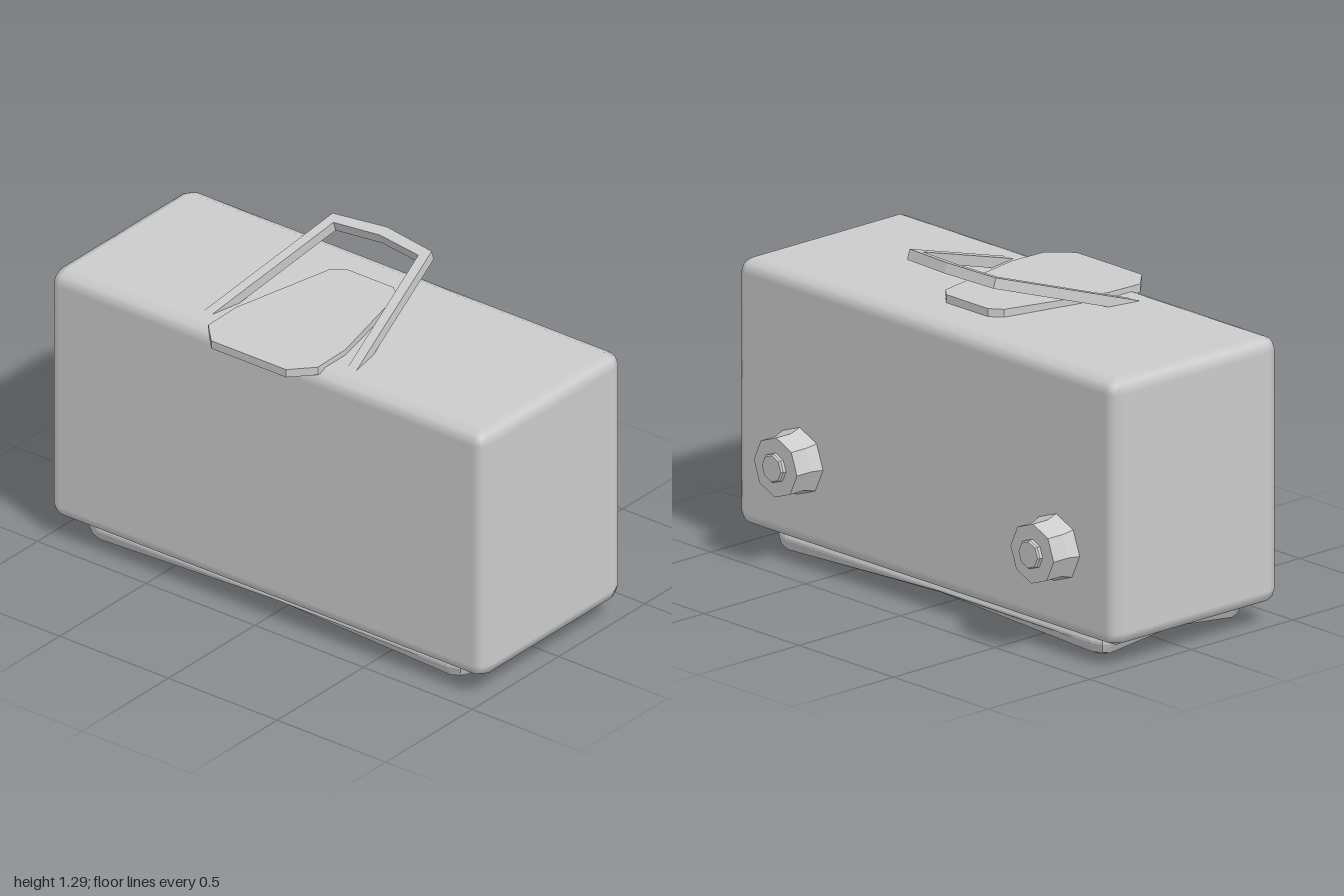
import * as THREE from 'three';

const material = new THREE.MeshStandardMaterial({ color: 0xcccccc });
const flatMaterial = new THREE.MeshStandardMaterial({ color: 0xcccccc, flatShading: true });

function addMesh(parent, name, geometry, mat) {
  const mesh = new THREE.Mesh(geometry, mat);
  mesh.name = name;
  parent.add(mesh);
  return mesh;
}

// Box between two corners with a two-step bevel of its own size on each axis
function bevelledBox(min, max, bevel) {
  const geometry = new THREE.BoxGeometry(1, 1, 1, 4, 4, 4);
  const pos = geometry.attributes.position;
  const normals = geometry.attributes.normal;
  const n = new THREE.Vector3();
  const p = new THREE.Vector3();
  for (let i = 0; i < pos.count; i++) {
    p.fromBufferAttribute(pos, i);
    n.set(...p.toArray().map((c) => (Math.abs(c) > 0.4 ? Math.sign(c) : 0))).normalize();
    const at = ['x', 'y', 'z'].map((axis, k) => {
      const core = (max[k] - min[k]) / 2 - bevel[k];
      const grid = THREE.MathUtils.clamp(p[axis] * 4, -1, 1);
      return (min[k] + max[k]) / 2 + core * grid + bevel[k] * n[axis];
    });
    pos.setXYZ(i, ...at);
    n.set(n.x / bevel[0], n.y / bevel[1], n.z / bevel[2]).normalize();
    normals.setXYZ(i, n.x, n.y, n.z);
  }
  return geometry;
}

// Flat plate from [x, z] outline points, top face at y = 0
function plate(points, thickness) {
  const shape = new THREE.Shape(points.map(([x, z]) => new THREE.Vector2(x, -z)));
  const geometry = new THREE.ExtrudeGeometry(shape, { depth: thickness, bevelEnabled: false });
  return geometry.translate(0, 0, -thickness).rotateX(-Math.PI / 2);
}

// Adds the mirrored half of an outline, in reverse order
const mirrored = (half) => [...half, ...half.filter(([, z]) => z !== 0).reverse().map(([x, z]) => [x, -z])];

export function createModel() {
  const model = new THREE.Group();

  addMesh(model, 'caseBody',
    bevelledBox([-0.44, 0.08, -1], [0.38, 1.095, 1], [0.055, 0.055, 0.05]), material);

  // Base with its underside rising from the four corners to the middle
  const base = bevelledBox([-0.387, 0, -0.885], [0.327, 0.12, 0.865], [0.055, 0.055, 0.07]);
  const pos = base.attributes.position;
  for (let i = 0; i < pos.count; i++) {
    const y = pos.getY(i);
    if (y > 0.057) continue;
    const a = Math.min(1, Math.abs(pos.getX(i) + 0.03) / 0.3);
    const b = Math.min(1, Math.abs(pos.getZ(i) + 0.01) / 0.8);
    const rise = 0.045 * (1 - Math.min(a, b));
    pos.setY(i, y + rise * (1 - y / 0.06));
  }
  base.computeVertexNormals();
  addMesh(model, 'base', base, flatMaterial);

  // Two eight-sided knobs on the side
  const collar = [[0.128, -0.02], [0.128, 0], [0.114, 0.042], [0.114, 0.115], [0, 0.115]];
  const button = [[0.056, 0.11], [0.056, 0.128], [0.05, 0.135], [0, 0.135]];
  for (const z of [0.665, -0.69]) {
    const knob = new THREE.Group();
    knob.name = 'knob';
    for (const [name, profile] of [['knobCollar', collar], ['knobButton', button]]) {
      const points = profile.map(([r, y]) => new THREE.Vector2(r, y));
      const geometry = new THREE.LatheGeometry(points, 8).rotateZ(-Math.PI / 2).rotateX(-0.04);
      addMesh(knob, name, geometry, flatMaterial);
    }
    knob.position.set(0.38, 0.4, z);
    model.add(knob);
  }

  // Flat handle plate overhanging one side of the top
  const handlePlate = addMesh(model, 'handlePlate', plate(mirrored([
    [-0.513, 0.172], [-0.43, 0.252], [-0.27, 0.252], [0.15, 0.155], [0.188, 0.11],
  ]), 0.032), material);
  handlePlate.position.set(0, 1.122, -0.018);
  handlePlate.rotation.z = 0.018;

  // Tilted U-shaped carrying handle, legs sunk into the top
  const outer = mirrored([[-0.07, 0.367], [0.622, 0.228], [0.652, 0]]);
  const inner = mirrored([[-0.07, 0.327], [0.584, 0.195], [0.606, 0]]);
  const carryHandle = addMesh(model, 'carryHandle', plate([...outer, ...inner.reverse()], 0.04), material);
  carryHandle.position.set(-0.335, 1.095, -0.016);
  carryHandle.rotation.z = 0.311;

  return model;
}
